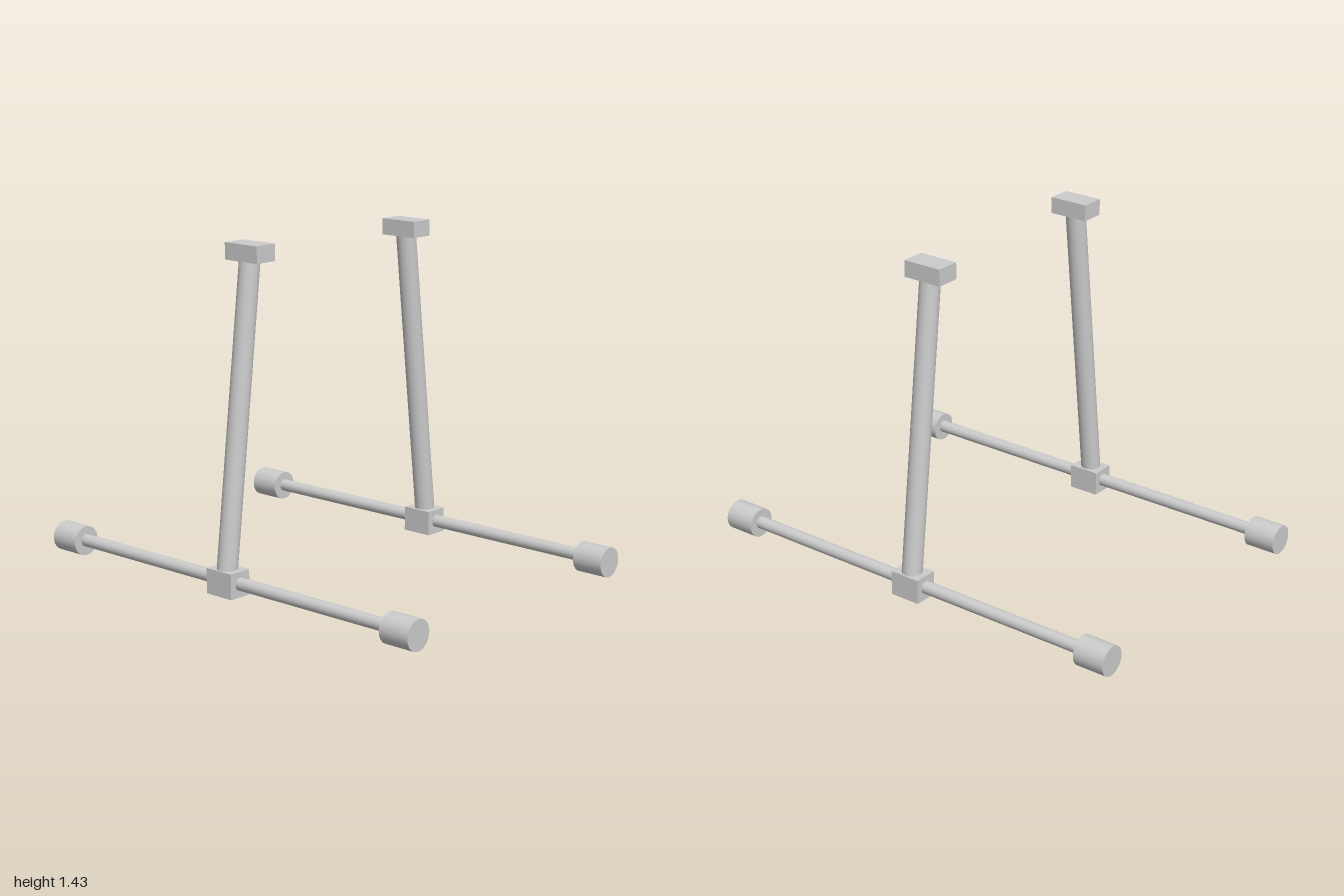
import * as THREE from 'three';

const material = new THREE.MeshStandardMaterial({ color: 0xcccccc });

function addPart(parent, name, geometry, x, y, z) {
  const mesh = new THREE.Mesh(geometry, material);
  mesh.name = name;
  mesh.position.set(x, y, z);
  parent.add(mesh);
  return mesh;
}

// Cylinder running between two points
function addBar(parent, name, from, to, radius, sides = 40) {
  const axis = to.clone().sub(from);
  const mid = from.clone().add(to).multiplyScalar(0.5);
  const bar = addPart(parent, name, new THREE.CylinderGeometry(radius, radius, axis.length(), sides), mid.x, mid.y, mid.z);
  bar.quaternion.setFromUnitVectors(new THREE.Vector3(0, 1, 0), axis.normalize());
  return bar;
}

// One stand: floor rod with end feet, hub block, leaning post and top pad
function createStand(name, side) {
  const stand = new THREE.Group();
  stand.name = name;
  const x = side * 0.623;
  const y = 0.064;
  const v = (a, b, c) => new THREE.Vector3(a, b, c);

  addBar(stand, 'floorRod', v(x, 0.067, -0.9), v(x, 0.067, 0.9), 0.027);
  addBar(stand, 'frontFoot', v(x, y, 0.86), v(x, y, 1), 0.064);
  addBar(stand, 'backFoot', v(x, y, -1), v(x, y, -0.86), 0.064);
  addPart(stand, 'hubBlock', new THREE.BoxGeometry(0.105, 0.107, 0.138), x, y, 0);
  addBar(stand, 'post', v(side * 0.631, 0.07, 0), v(side * 0.478, 1.39, 0), 0.043);
  addPart(stand, 'topPad', new THREE.BoxGeometry(0.104, 0.07, 0.176), side * 0.48, 1.393, 0);
  return stand;
}

export function createModel() {
  const model = new THREE.Group();
  model.name = 'pairOfStands';
  model.add(createStand('leftStand', 1), createStand('rightStand', -1));
  return model;
}
